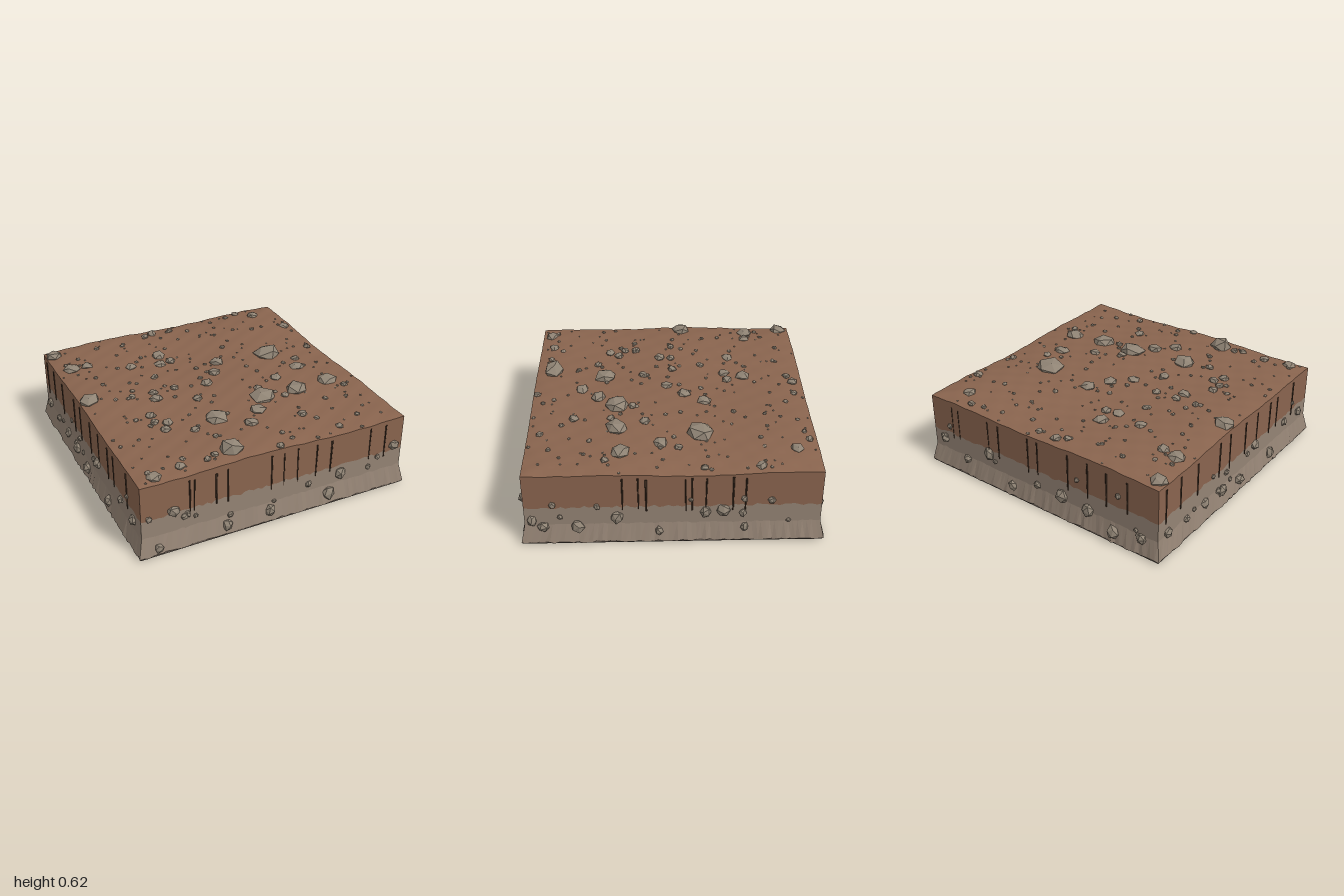
import * as THREE from 'three';
import { mergeGeometries } from 'three/addons/utils/BufferGeometryUtils.js';

const N = 64;        // columns per wall
const HALF = 0.948;  // half width of the block above the flare

function makeRandom(seed) {
  return () => {
    seed = (seed * 1664525 + 1013904223) % 4294967296;
    return seed / 4294967296;
  };
}

const hash = (a, b = 0, c = 0) => {
  const s = Math.sin(a * 127.1 + b * 311.7 + c * 74.7) * 43758.5453;
  return s - Math.floor(s);
};

// Rolling, finely rippled ground, lower along the rim
function groundHeight(x, z) {
  const rim = Math.max(Math.abs(x), Math.abs(z)) / HALF;
  return 0.548 + 0.008 * Math.sin(x * 5.1 + z * 2.3) + 0.006 * Math.sin(z * 6.3 - x * 1.7 + 1)
    + 0.003 * Math.sin(x * 31 + z * 9) * Math.sin(z * 33 - x * 7) - 0.022 * Math.pow(rim, 8);
}

// Wall coordinates (u along the wall, d outward) to model space; side 0 front, 1 +x, 2 back, 3 -x
function onSide(side, u, y, d) {
  return [[u, y, d], [d, y, -u], [-u, y, -d], [-d, y, u]][side];
}

// Strip of quads between two rows of points, flat shaded; upper row second
function strip(lower, upper) {
  const p = [];
  for (let i = 0; i < lower.length - 1; i++) {
    p.push(...lower[i], ...lower[i + 1], ...upper[i + 1], ...lower[i], ...upper[i + 1], ...upper[i]);
  }
  const g = new THREE.BufferGeometry();
  g.setAttribute('position', new THREE.Float32BufferAttribute(p, 3));
  g.computeVertexNormals();
  return g;
}

// One horizontal row of wall points; jitter fades out at the corners
function wallRow(side, half, y, jitterY = 0, jitterD = 0) {
  const row = [];
  for (let i = 0; i <= N; i++) {
    const t = (i / N) * 2 - 1, inner = i > 0 && i < N ? 1 : 0;
    const dy = inner * (hash(i, side, y) - 0.5) * jitterY;
    const dd = inner * (hash(i, side, y + 5) - 0.5) * jitterD;
    row.push(onSide(side, t * half, y + dy, half + dd));
  }
  return row;
}

// Angular, irregular rock
function rock(x, y, z, r, scale, seed) {
  const g = new THREE.IcosahedronGeometry(r, 0);
  const p = g.attributes.position;
  for (let i = 0; i < p.count; i++) {
    const q = [p.getX(i), p.getY(i), p.getZ(i)].map(v => Math.round(v / r * 50));
    const k = 0.9 + 0.3 * hash(q[0] + seed, q[1], q[2]);
    p.setXYZ(i, p.getX(i) * k, p.getY(i) * k, p.getZ(i) * k);
  }
  g.rotateX(0.55);
  g.rotateY(seed * 1.7);
  g.scale(...scale);
  g.computeVertexNormals();
  g.translate(x, y, z);
  return g;
}

// x, z, radius of the larger rocks lying on the ground
const LARGE_ROCKS = [
  [-0.28, 0.83, 0.075], [-0.2, 0.45, 0.085], [0.2, 0.36, 0.095], [0.46, 0.36, 0.078], [0.72, 0.33, 0.07],
  [0.53, -0.19, 0.098], [-0.88, -0.11, 0.072], [-0.84, -0.6, 0.062], [-0.89, -0.87, 0.06], [-0.83, 0.88, 0.048],
  [0.09, 0.49, 0.057], [-0.02, 0.61, 0.052], [0.14, -0.24, 0.054], [0.63, 0.07, 0.052], [-0.73, -0.59, 0.042],
  [-0.2, -0.53, 0.052], [-0.24, -0.4, 0.042], [-0.45, -0.44, 0.042], [-0.46, 0.06, 0.045], [0.05, -0.1, 0.048],
  [-0.06, 0.02, 0.045], [0.4, 0.17, 0.04], [0.73, -0.8, 0.046], [0.88, -0.56, 0.04],
];

// u, y, radius of the main rocks stuck in the front and +x walls
const WALL_ROCKS = [
  [[-0.73, 0.3, 0.045], [-0.66, 0.235, 0.025], [-0.37, 0.08, 0.035], [-0.84, 0.06, 0.03],
    [-0.06, 0.09, 0.037], [0.38, 0.09, 0.047], [0.47, 0.215, 0.04], [0.88, 0.32, 0.036]],
  [[-0.9, 0.18, 0.033], [-0.83, 0.13, 0.042], [-0.61, 0.13, 0.042], [-0.36, 0.2, 0.042],
    [0.21, 0.23, 0.036], [0.32, 0.24, 0.045], [0.46, 0.11, 0.026], [-0.09, 0.09, 0.028]],
];

// Positions along the front and +x walls of the hanging roots
const ROOTS = [
  [-0.62, -0.59, -0.44, -0.36, -0.05, 0.04, 0.14, 0.28, 0.39, 0.69, 0.81],
  [-0.32, -0.22, -0.17, 0.08, 0.12, 0.21, 0.38, 0.46],
];

export function createModel() {
  const model = new THREE.Group();
  const paint = (name, color) => {
    const m = new THREE.MeshStandardMaterial({ color });
    m.name = name;
    return m;
  };
  const soil = paint('soil', 0x89644e);
  const clay = paint('clay', 0x948374);
  const stone = paint('stone', 0x8f8374);
  const root = paint('root', 0x3d2c20);
  const underside = paint('underside', 0x796b60);
  const add = (name, geometry, material) => {
    const mesh = new THREE.Mesh(geometry, material);
    mesh.name = name;
    model.add(mesh);
  };
  const random = makeRandom(7);
  const between = (a, b) => a + (b - a) * random();

  // Ground surface
  const ground = new THREE.PlaneGeometry(HALF * 2, HALF * 2, N, N).rotateX(-Math.PI / 2);
  const gp = ground.attributes.position;
  for (let i = 0; i < gp.count; i++) gp.setY(i, groundHeight(gp.getX(i), gp.getZ(i)));
  ground.computeVertexNormals();
  add('ground', ground, soil);

  // Layered walls: soil, clay, flared clay foot, inset lower edge
  const soilWalls = [], clayWalls = [], edges = [], roots = [], wallRocks = [];
  for (let side = 0; side < 4; side++) {
    const rim = wallRow(side, HALF, 0).map(([x, , z]) => [x, groundHeight(x, z), z]);
    const seam = wallRow(side, HALF, 0.28, 0.022);
    const bend = wallRow(side, HALF, 0.145, 0.012);
    const foot = wallRow(side, 0.976, 0.016, 0.016, 0.012);
    soilWalls.push(strip(seam, rim));
    clayWalls.push(strip(bend, seam), strip(foot, bend));
    edges.push(strip(wallRow(side, 0.965, 0), foot));

    // Thin roots hanging down the soil layer, at random on the back and -x walls
    const rootSpots = ROOTS[side] ?? Array.from({ length: 10 }, (_, i) => -0.82 + i * 0.17 + between(-0.06, 0.06));
    for (const u of rootSpots) {
      const top = between(0.485, 0.505), bottom = between(0.235, 0.26), w = between(0.004, 0.008);
      const g = new THREE.CylinderGeometry(w, w * 0.7, top - bottom, 5);
      g.rotateZ(between(-0.015, 0.015));
      g.rotateY(side * Math.PI / 2);
      g.translate(...onSide(side, u, (top + bottom) / 2, HALF));
      roots.push(g);
    }

    // Rocks half buried in the wall: main ones, then small ones
    const rocks = WALL_ROCKS[side]?.slice()
      ?? Array.from({ length: 9 }, (_, i) => [-0.85 + i * 0.21, between(0.08, 0.26), between(0.027, 0.045)]);
    for (let i = 0; i < 8; i++) rocks.push([between(-0.9, 0.9), between(0.1, 0.37), between(0.014, 0.024)]);
    rocks.forEach(([u, y, r], i) => {
      const d = HALF + 0.028 * Math.max(0, 1 - y / 0.145) + 0.004;
      const tall = 0.8 + 0.45 * hash(i, side);
      const s = side % 2 ? [0.8, tall, 1] : [1, tall, 0.8];
      wallRocks.push(rock(...onSide(side, u, y, d), r, s, i + side * 20));
    });
  }
  add('soilWalls', mergeGeometries(soilWalls), soil);
  add('clayWalls', mergeGeometries(clayWalls), clay);
  add('lowerEdge', mergeGeometries(edges), underside);
  add('bottom', new THREE.PlaneGeometry(1.93, 1.93).rotateX(Math.PI / 2), underside);
  add('roots', mergeGeometries(roots), root);
  add('wallRocks', mergeGeometries(wallRocks), stone);

  // Rocks on the ground; the first stands taller than the rest
  add('largeRocks', mergeGeometries(LARGE_ROCKS.map(([x, z, r], i) =>
    rock(x, groundHeight(x, z) + r * 0.05, z, r, [1, i ? 0.55 : 1, 0.92], i + 3))), stone);

  // Scattered small rocks and pebbles
  const pebbles = [];
  for (let i = 0; i < 230; i++) {
    const x = between(-0.93, 0.93), z = between(-0.93, 0.93);
    const r = i < 26 ? between(0.025, 0.037) : 0.007 + 0.014 * random() ** 2;
    pebbles.push(rock(x, groundHeight(x, z) + r * 0.15, z, r, [1, 0.65, 0.95], i));
  }
  add('pebbles', mergeGeometries(pebbles), stone);
  return model;
}
